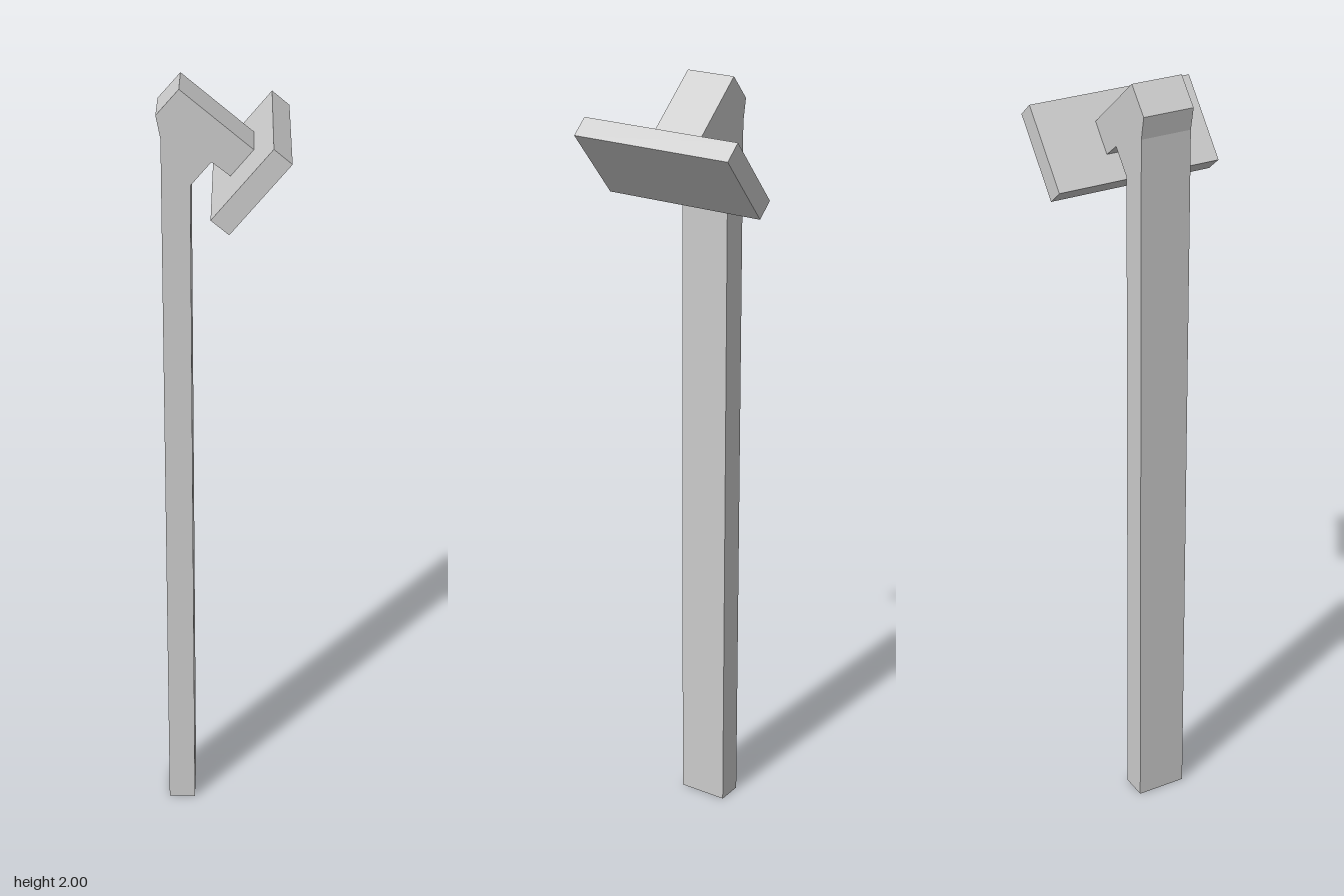
import * as THREE from 'three';

const material = new THREE.MeshStandardMaterial({ color: 0xcccccc, flatShading: true });

// Extrudes a side profile (x, y) symmetrically along z.
function slab(name, points, width) {
  const shape = new THREE.Shape(points.map(([x, y]) => new THREE.Vector2(x, y)));
  const geometry = new THREE.ExtrudeGeometry(shape, { depth: width, bevelEnabled: false });
  geometry.translate(0, 0, -width / 2);
  const mesh = new THREE.Mesh(geometry, material);
  mesh.name = name;
  return mesh;
}

export function createModel() {
  const group = new THREE.Group();
  group.name = 'postWithTiltedPlate';

  // Upright post with a chamfered head and a short arm sloping down to the plate
  group.add(slab('postAndArm', [
    [-0.148, 0], [-0.079, 0], [-0.079, 1.765], [-0.029, 1.824],
    [0.017, 1.788], [0.071, 1.854], [-0.104, 2], [-0.159, 1.937], [-0.148, 1.88],
  ], 0.132));

  // Wide flat plate, square to the end of the arm
  group.add(slab('plate', [
    [-0.029, 1.736], [0.014, 1.7], [0.158, 1.872], [0.115, 1.908],
  ], 0.435));

  return group;
}
